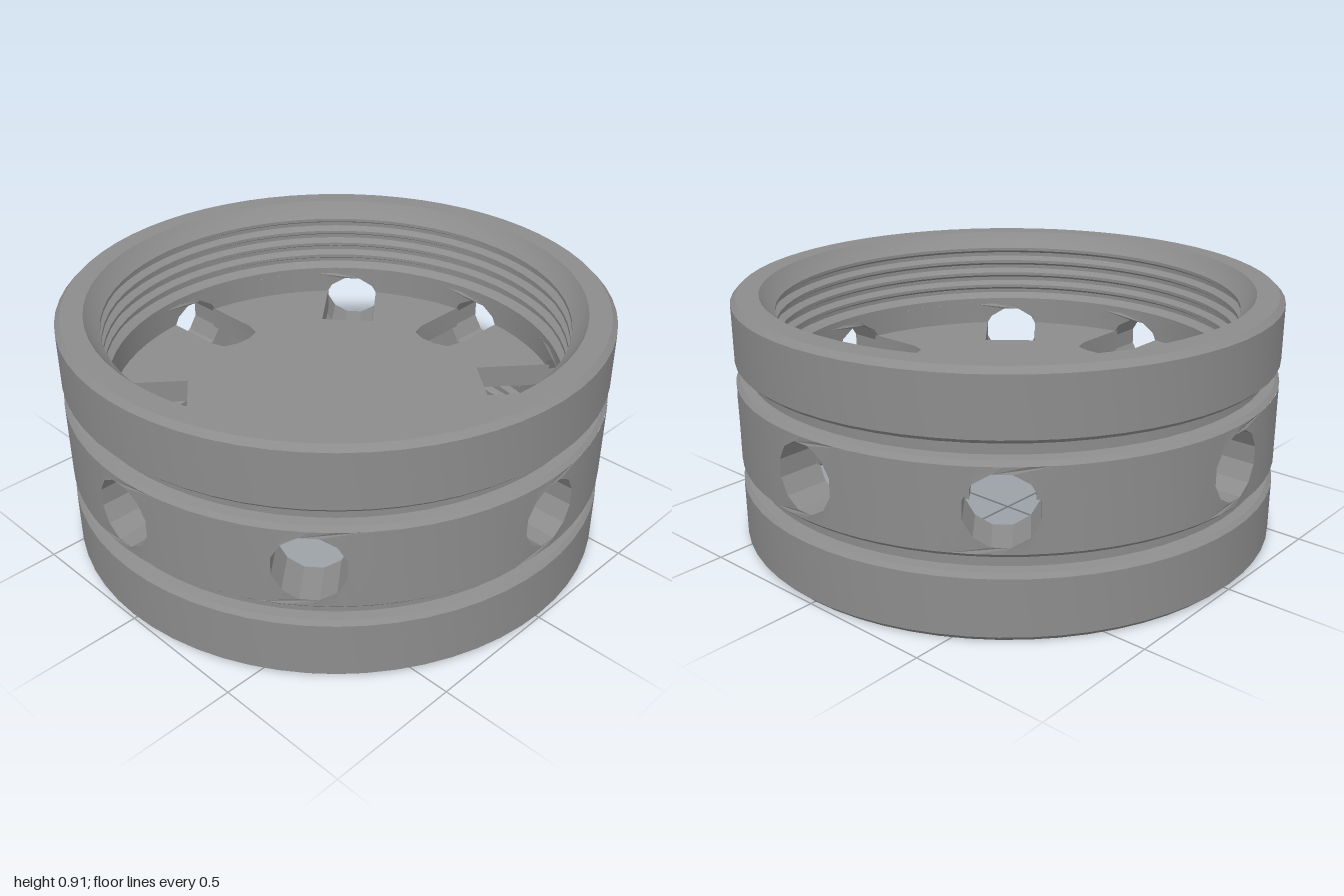
import * as THREE from 'three';
import { mergeGeometries, toCreasedNormals } from 'three/addons/utils/BufferGeometryUtils.js';

const OUTER = 1, INNER = 0.84, MID = 0.46;      // wall radii and mid height
const BAND_LOW = 0.315, BAND_HIGH = 0.605;      // drilled part of the wall
const HALF = 0.16, HOLE = 0.125;                // half width of a drilled panel, hole radius
const ANGLES = [0, 50, 90, 130, 180, 230, 270, 310].map(THREE.MathUtils.degToRad);

const v2 = (list) => list.map(([x, y]) => new THREE.Vector2(x, y));

// Curved wall panel with one round hole bored straight through it
function drilledPanel(angle) {
  const xs = [-1, -0.5, 0, 0.5, 1].map((t) => t * HALF);
  const shape = new THREE.Shape(v2([
    ...xs.map((x) => [x, BAND_LOW]),
    ...xs.slice().reverse().map((x) => [x, BAND_HIGH]),
  ]));
  const ring = [];
  for (let i = 0; i < 12; i++) {
    const a = -(i + 0.5) * Math.PI / 6;
    ring.push([HOLE * Math.cos(a), MID + HOLE * Math.sin(a)]);
  }
  shape.holes.push(new THREE.Path(v2(ring)));
  const geo = new THREE.ExtrudeGeometry(shape, { depth: 1, bevelEnabled: false });
  const p = geo.attributes.position;
  for (let i = 0; i < p.count; i++) {
    const r = INNER + (OUTER - INNER) * p.getZ(i);
    p.setZ(i, Math.sqrt(r * r - p.getX(i) ** 2));
  }
  return geo.rotateY(angle);
}

// Plain wall between two neighbouring panels, on one radius
function plainArc(from, to, radius, inward) {
  const trim = Math.asin(HALF / radius);
  const line = [[radius, BAND_LOW], [radius, BAND_HIGH]];
  if (inward) line.reverse();
  return new THREE.LatheGeometry(v2(line), 6, from + trim, to - from - 2 * trim).toNonIndexed();
}

// Groove, outer rim, chamfers and threaded inside of the upper half
function rimProfile() {
  const pts = [
    [1, BAND_HIGH], [0.985, 0.62], [0.95, 0.625], [0.95, 0.67], [0.985, 0.675],
    [1, 0.69], [1, 0.895], [0.98, 0.915], [0.9, 0.915], [0.875, 0.88],
  ];
  for (let i = 0; i < 4; i++) {
    const y = 0.855 - i * 0.055;
    pts.push([0.847, y], [0.847, y - 0.012], [0.872, y - 0.025], [0.872, y - 0.04]);
  }
  pts.push([INNER, 0.63], [INNER, BAND_HIGH]);
  return pts;
}

// Centre plate outline, notched where the holes run into it
function plateShape() {
  const R = 0.855, w = 0.105, depth = 0.53, pts = [];
  const edge = Math.asin(w / R);
  ANGLES.forEach((a, k) => {
    const square = Math.abs(Math.sin(2 * a)) < 0.1;
    const put = (x, r) => pts.push([
      x * Math.cos(a) + r * Math.sin(a), r * Math.cos(a) - x * Math.sin(a)]);
    const notch = square
      ? [[-w, 0.61], [-0.085, 0.55], [-0.03, depth], [0.03, depth], [0.085, 0.55], [w, 0.61]]
      : [[-w, 0.56], [w, 0.56]];
    put(-w, R * Math.cos(edge));
    notch.forEach(([x, r]) => put(x, r));
    put(w, R * Math.cos(edge));
    const next = k < 7 ? ANGLES[k + 1] : Math.PI * 2;
    for (let i = 1; i < 6; i++) {
      const t = a + edge + (next - a - 2 * edge) * i / 6;
      pts.push([R * Math.sin(t), R * Math.cos(t)]);
    }
  });
  return new THREE.Shape(v2(pts));
}

export function createModel() {
  const group = new THREE.Group();
  const metal = new THREE.MeshStandardMaterial({ color: 0x8c8c8c });
  metal.name = 'grey metal';
  const add = (name, geo) => {
    const mesh = new THREE.Mesh(toCreasedNormals(geo, 0.35), metal);
    mesh.name = name;
    group.add(mesh);
  };

  // Middle band with eight holes
  const parts = [];
  ANGLES.forEach((a, k) => {
    const next = k < 7 ? ANGLES[k + 1] : Math.PI * 2;
    parts.push(drilledPanel(a), plainArc(a, next, OUTER, false), plainArc(a, next, INNER, true));
  });
  parts.forEach((g) => g.clearGroups());
  add('drilledBand', mergeGeometries(parts));

  // Threaded rims, the lower one mirrored
  const rim = rimProfile();
  add('upperRim', new THREE.LatheGeometry(v2(rim), 64));
  const mirrored = rim.map(([r, y]) => [r, 2 * MID - y]).reverse();
  add('lowerRim', new THREE.LatheGeometry(v2(mirrored), 64));

  // Notched centre plate
  const plate = new THREE.ExtrudeGeometry(plateShape(), { depth: 0.09, bevelEnabled: false });
  plate.rotateX(-Math.PI / 2).translate(0, 0.43, 0);
  plate.clearGroups();
  add('centrePlate', plate);

  return group;
}
